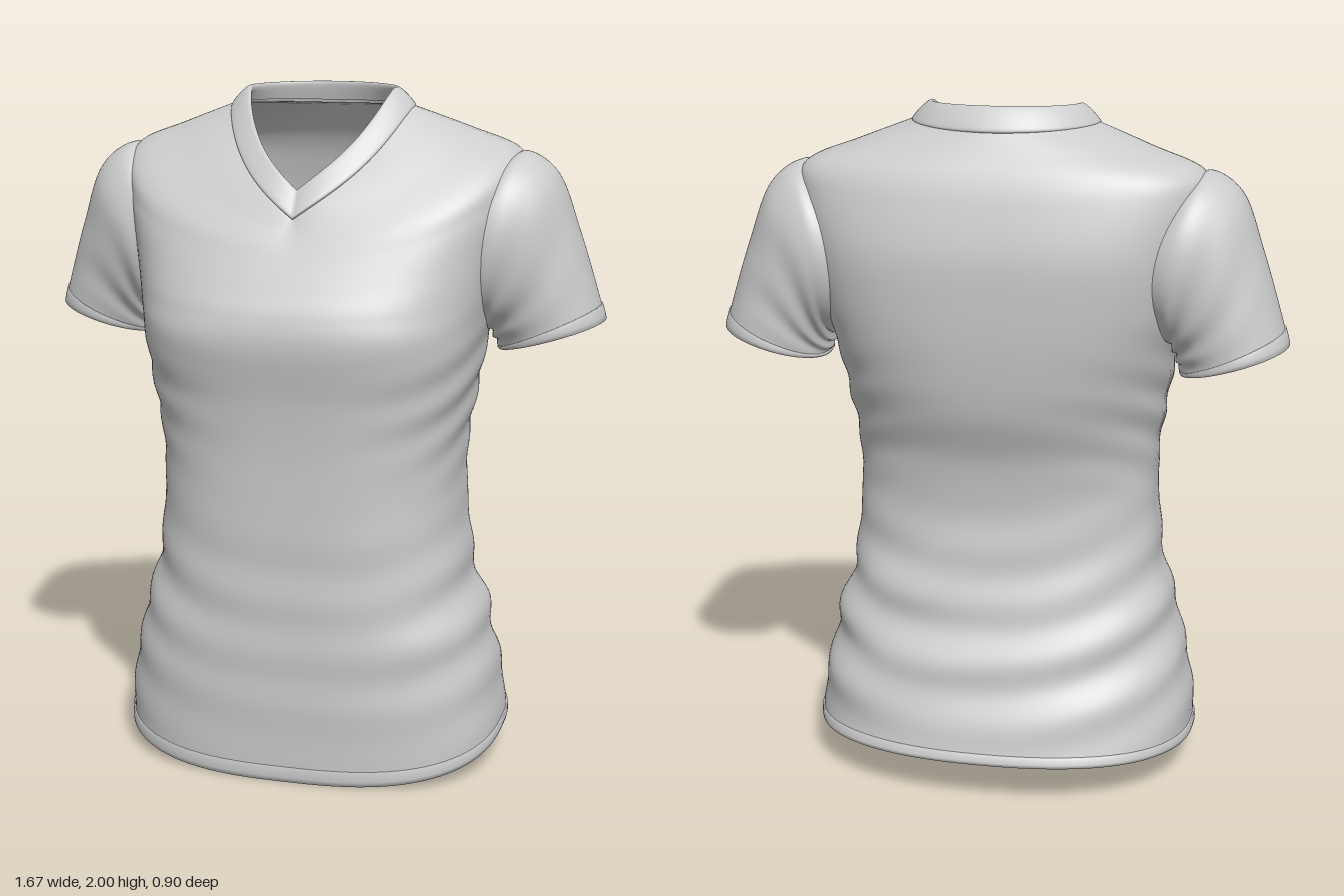
import * as THREE from 'three';

const SEG = 112;
const fabric = new THREE.MeshStandardMaterial({ color: 0xcccccc, side: THREE.DoubleSide });
fabric.name = 'light grey fabric';

// Torso sections: half width, front z, back z, front y, side y, back y, side z, front/back roundness, V shape
const bodyRows = [
  [.575, .385, -.45, 0, .1, .12],
  [.56, .395, -.405, .24, .26, .28],
  [.525, .4, -.355, .42, .42, .42],
  [.475, .4, -.3, .6, .6, .6],
  [.45, .405, -.268, .8, .8, .8],
  [.45, .41, -.285, .98, .98, .98],
  [.475, .425, -.34, 1.14, 1.14, 1.14],
  [.5, .452, -.368, 1.3, 1.3, 1.3, -.02, 2.8, 2.6],
  [.525, .44, -.38, 1.39, 1.42, 1.45, -.05, 2.6, 2.8],
  [.555, .405, -.38, 1.46, 1.58, 1.6, -.06, 2.4, 2.9],
  [.59, .365, -.35, 1.53, 1.74, 1.74, -.07, 2.2, 2.7, .1],
  [.575, .34, -.32, 1.57, 1.825, 1.82, -.07, 2.1, 2.5, .3],
  [.43, .31, -.28, 1.61, 1.885, 1.88, -.06, 1.9, 2.3, .6],
  [.27, .285, -.24, 1.65, 1.945, 1.935, -.03, 1.6, 2, 1],
].map((r) => [...r, ...[0, 2.7, 2.3, 0].slice(r.length - 6)]);

// Collar sections, from the neck seam to the folded inner edge
const collarRows = [
  [.272, .287, -.243, 1.645, 1.94, 1.93, -.03, 1.6, 2, 1],
  [.272, .293, -.246, 1.655, 1.95, 1.94, -.03, 1.6, 2, 1],
  [.245, .27, -.225, 1.69, 1.98, 1.975, -.03, 1.6, 2, 1],
  [.22, .247, -.203, 1.722, 1.997, 2, -.03, 1.6, 2, 1],
  [.212, .238, -.196, 1.715, 1.985, 1.99, -.03, 1.6, 2, 1],
  [.226, .244, -.208, 1.685, 1.95, 1.945, -.03, 1.6, 2, 1],
];

// Sleeve sections: top x, top y, bottom x, bottom y, half depth, centre z, inward bend
const sleeveRows = [
  [.53, 1.79, .45, 1.36, .2, -.07, .05],
  [.6, 1.82, .5, 1.325, .232, -.07, .045],
  [.69, 1.755, .507, 1.305, .22, -.07, .025],
  [.75, 1.6, .515, 1.285, .195, -.08, .01],
  [.795, 1.46, .522, 1.265, .18, -.088, 0],
  [.832, 1.335, .53, 1.245, .174, -.094, 0],
];

// Smooth interpolation through section rows; t counts rows
function sample(rows, t) {
  const last = rows.length - 1;
  const i = Math.min(Math.floor(t), last - 1), f = t - i;
  const at = (k) => rows[Math.max(0, Math.min(last, k))];
  return rows[i].map((_, k) => {
    const p0 = at(i - 1)[k], p1 = at(i)[k], p2 = at(i + 1)[k], p3 = at(i + 2)[k];
    return p1 + .5 * f * (p2 - p0 + f * (2 * p0 - 5 * p1 + 4 * p2 - p3 + f * (3 * (p1 - p2) + p3 - p0)));
  });
}

// Cloth folds: swags around the hips and waist, small creases under the arms
function folds(c, s, y) {
  const side = c * c, back = Math.max(0, -s);
  const hip = Math.exp(-(((y - .45) / .27) ** 2)), arm = Math.exp(-(((y - 1.12) / .18) ** 2));
  const swag = Math.sin(36 * (y - .12 * side) + 1.2 * c) + .5 * Math.sin(23 * y + 4 * c + 2 * s);
  return hip * (.0025 + .005 * side + .006 * back) * swag
    + arm * .005 * side * Math.sin(48 * y + 7 * s);
}

// One torso or collar point at an angle around the body
function bodyPoint(rows, t, angle, grow = 0, wrinkled = true) {
  const [a, zF, zB, yF, yS, yB, zS, nF, nB, v] = sample(rows, t);
  const c = Math.cos(angle), s = Math.sin(angle), front = s >= 0;
  const n = front ? nF : nB;
  const u = Math.sign(c) * Math.abs(c) ** (2 / n), w = Math.abs(s) ** (2 / n);
  const q = Math.abs(u);
  const round = w ** 1.5, vee = 1 - (.65 * q + .35 * q ** 4);
  const y = yS + ((front ? yF : yB) - yS) * (front ? round * (1 - v) + vee * v : round);
  const d = grow + (wrinkled ? folds(c, s, y) : 0);
  return [a * u + d * c, y, zS + (front ? zF - zS : zB - zS) * w + d * s];
}

// One sleeve point; side is +1 for left, -1 for right
function sleevePoint(t, angle, side, grow = 0) {
  const [tx, ty, bx, by, depth, zc, bend] = sample(sleeveRows, t);
  const c = Math.cos(angle), s = Math.sin(angle);
  const len = Math.hypot(tx - bx, ty - by) / 2;
  const under = .5 - .5 * c;
  const crease = .006 * under * Math.sin(t * 5 + 6 * s) * Math.sin(Math.PI * Math.min(1, t / 5));
  const k = c * (1 + (grow + crease) / len);
  return [
    side * ((tx + bx) / 2 + k * (tx - bx) / 2 - bend * s * s),
    (ty + by) / 2 + k * (ty - by) / 2,
    zc - side * (depth + grow + crease) * Math.sign(s) * Math.abs(s) ** .9,
  ];
}

// Skin closed rings into a smooth surface, leaving out quads that skip() selects
function loft(name, rings, skip = () => false) {
  const pos = rings.flat(2), index = [];
  for (let i = 0; i < rings.length - 1; i++) {
    for (let j = 0; j < SEG; j++) {
      if (skip(rings[i][j])) continue;
      const a = i * SEG + j, b = i * SEG + (j + 1) % SEG;
      index.push(a, a + SEG, b, b, a + SEG, b + SEG);
    }
  }
  const geo = new THREE.BufferGeometry();
  geo.setAttribute('position', new THREE.Float32BufferAttribute(pos, 3));
  geo.setIndex(index);
  geo.computeVertexNormals();
  const mesh = new THREE.Mesh(geo, fabric);
  mesh.name = name;
  return mesh;
}

const ring = (point) => Array.from({ length: SEG }, (_, j) => point((j / SEG) * Math.PI * 2));
const steps = (from, to, n) => Array.from({ length: n + 1 }, (_, i) => from + ((to - from) * i) / n);

export function createModel() {
  const shirt = new THREE.Group();
  shirt.name = 'shirt';

  // Torso, open at hem, neck and armholes
  const inArmhole = ([x, y, z]) =>
    Math.abs(x) > .4 && ((y - 1.57) / .19) ** 2 + ((z + .07) / .17) ** 2 < 1;
  shirt.add(loft('torso',
    steps(0, bodyRows.length - 1, 150).map((t) => ring((a) => bodyPoint(bodyRows, t, a))), inArmhole));

  // Hem band, slightly raised, with a folded lower edge
  const hem = [[.16, -.008], [0, -.006], [0, .003], [.1, .005], [.25, .005], [.26, -.001]];
  shirt.add(loft('hemBand', hem.map(([t, g]) => ring((a) => bodyPoint(bodyRows, t, a, g)))));

  // V-neck collar
  shirt.add(loft('collar',
    steps(0, collarRows.length - 1, 25).map((t) => ring((a) => bodyPoint(collarRows, t, a, 0, false)))));

  // Sleeves with cuffs
  const cuff = [[4.56, -.001], [4.57, .004], [4.8, .004], [5, .003], [5, -.006], [4.7, -.008]];
  for (const [side, label] of [[1, 'left'], [-1, 'right']]) {
    shirt.add(loft(label + 'Sleeve', steps(0, 5, 50).map((t) => ring((a) => sleevePoint(t, a, side)))));
    shirt.add(loft(label + 'Cuff', cuff.map(([t, g]) => ring((a) => sleevePoint(t, a, side, g)))));
  }
  return shirt;
}
